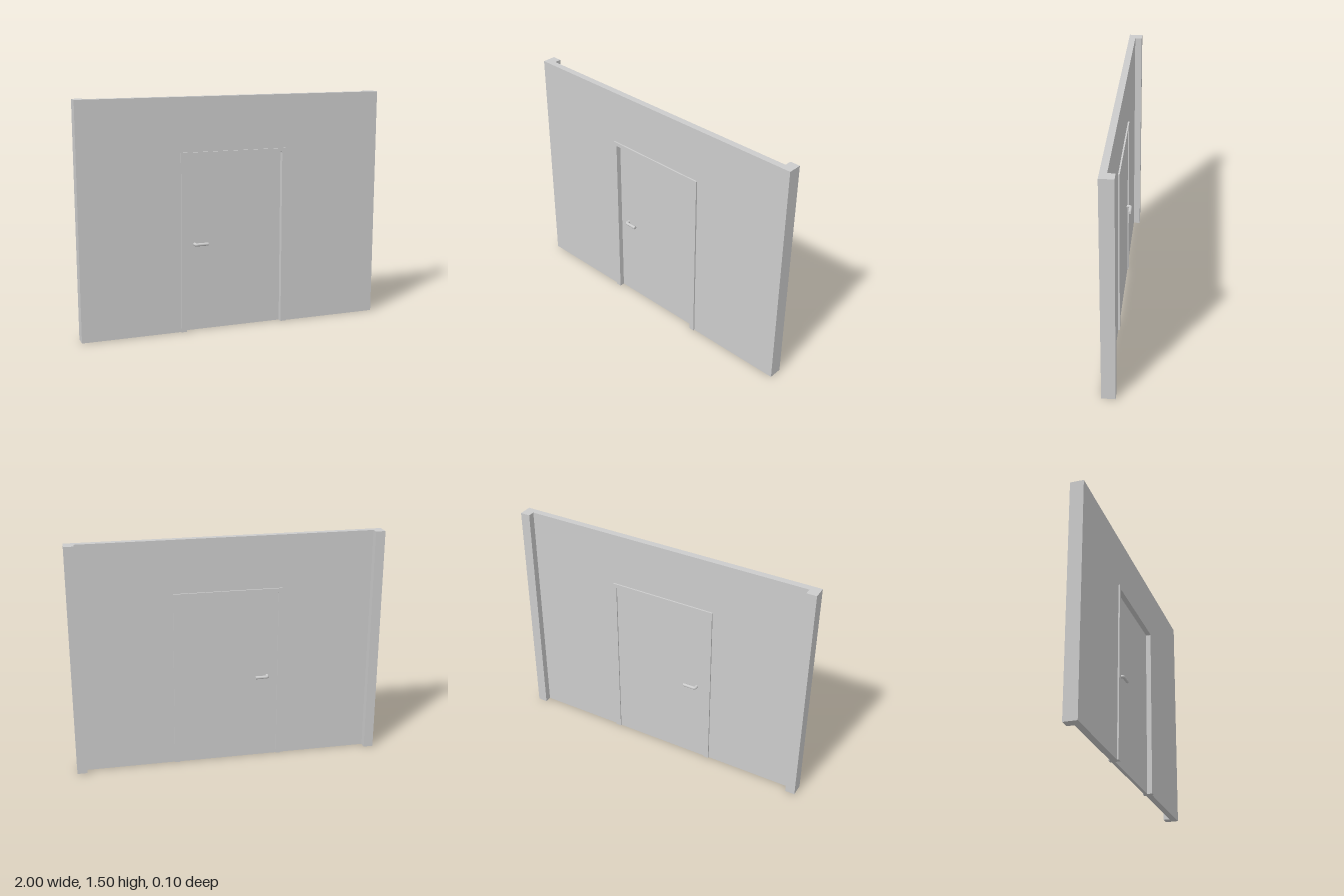
import * as THREE from 'three';

const material = new THREE.MeshStandardMaterial({ color: 0xcccccc });

function addMesh(parent, name, geometry, x = 0, y = 0, z = 0) {
  const mesh = new THREE.Mesh(geometry, material);
  mesh.name = name;
  mesh.position.set(x, y, z);
  parent.add(mesh);
  return mesh;
}

// Extrude an outline from zBack to zFront
function slab(shape, zBack, zFront) {
  const geometry = new THREE.ExtrudeGeometry(shape, {
    depth: zFront - zBack, bevelEnabled: false, curveSegments: 4,
  });
  return geometry.translate(0, 0, zBack);
}

// Upside-down U: outer outline (tapering) around a doorway with rounded top corners
function archShape(bottomX, topX, topY, innerX, innerY, r) {
  const s = new THREE.Shape();
  s.moveTo(-bottomX, 0);
  s.lineTo(-innerX, 0);
  s.lineTo(-innerX, innerY - r);
  s.quadraticCurveTo(-innerX, innerY, -innerX + r, innerY);
  s.lineTo(innerX - r, innerY);
  s.quadraticCurveTo(innerX, innerY, innerX, innerY - r);
  s.lineTo(innerX, 0);
  s.lineTo(bottomX, 0);
  s.lineTo(topX, topY);
  s.lineTo(-topX, topY);
  s.closePath();
  return s;
}

// Lever handle: spindle out of the door, a bend, then the grip; side is +1 front, -1 back
function makeHandle(side) {
  const handle = new THREE.Group();
  const r = 0.01, zDoor = 0.0025, reach = 0.037, bend = 0.014;
  const at = (x, out) => new THREE.Vector3(x, 0, zDoor + side * out);
  const path = new THREE.CurvePath();
  path.add(new THREE.LineCurve3(at(0, 0.005), at(0, reach - bend)));
  path.add(new THREE.QuadraticBezierCurve3(at(0, reach - bend), at(0, reach), at(bend, reach)));
  path.add(new THREE.LineCurve3(at(bend, reach), at(0.083, reach)));
  addMesh(handle, 'lever', new THREE.TubeGeometry(path, 28, r, 16));
  // Flat end of the grip
  const end = addMesh(handle, 'leverEnd', new THREE.CircleGeometry(r, 16),
    0.083, 0, zDoor + side * reach);
  end.rotation.y = Math.PI / 2;
  handle.position.set(-0.258, 0.566, 0);
  return handle;
}

export function createModel() {
  const model = new THREE.Group();
  model.name = 'wallWithDoor';

  // Wall with doorway
  addMesh(model, 'wall', slab(archShape(1, 1, 1.5, 0.335, 1.142, 0.002), -0.006, 0.036));

  // Pilasters at the back of both ends
  for (const side of [-1, 1]) {
    addMesh(model, side > 0 ? 'leftPilaster' : 'rightPilaster',
      new THREE.BoxGeometry(0.063, 1.5, 0.044), side * 0.9685, 0.75, -0.028);
  }

  // Door frame standing proud of both wall faces
  addMesh(model, 'doorFrame', slab(archShape(0.36, 0.35, 1.157, 0.325, 1.134, 0.008), -0.016, 0.046));

  // Door leaf
  addMesh(model, 'door', new THREE.BoxGeometry(0.654, 1.136, 0.021), 0, 0.568, 0.0025);

  // Handles on both faces
  for (const side of [1, -1]) {
    const handle = makeHandle(side);
    handle.name = side > 0 ? 'frontHandle' : 'backHandle';
    model.add(handle);
  }
  return model;
}
